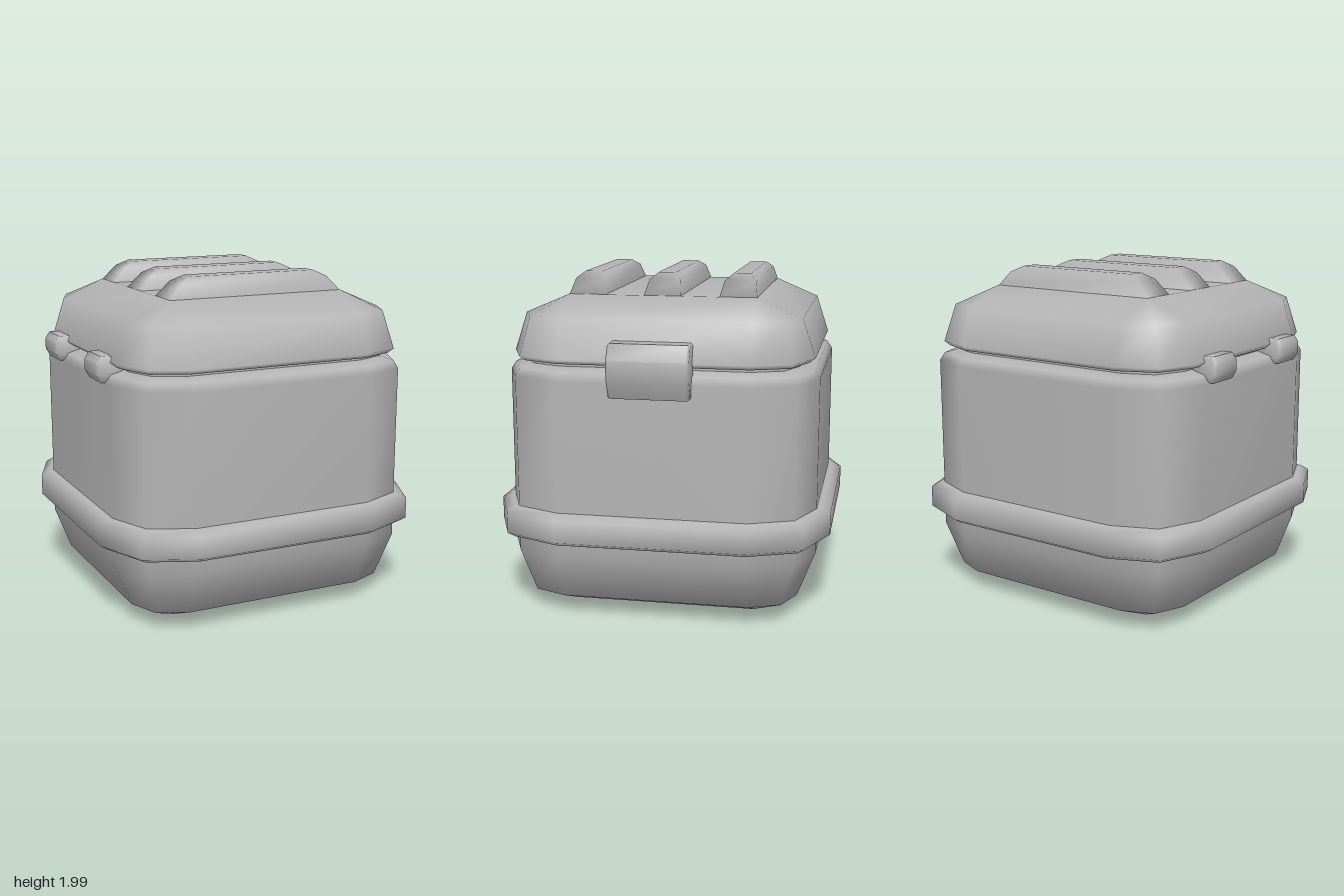
import * as THREE from 'three';
import { mergeVertices, toCreasedNormals } from 'three/addons/utils/BufferGeometryUtils.js';

const CORE = 0.55; // half width of the square that the rounded corners start from

// Rounded square outline with two-segment corners
function roundedRing(y, half) {
  const r = half - CORE, ring = [];
  for (let q = 0; q < 4; q++) {
    const sx = q === 0 || q === 3 ? 1 : -1, sz = q < 2 ? 1 : -1;
    for (let k = 0; k < 3; k++) {
      const a = (q + k / 2) * Math.PI / 2;
      ring.push([sx * CORE + r * Math.cos(a), y, sz * CORE + r * Math.sin(a)]);
    }
  }
  return ring;
}

const rectRing = (y, x, z) => [[x, y, z], [-x, y, z], [-x, y, -z], [x, y, -z]];

// Skin stacked outlines from bottom to top, with optional end caps
function loft(rings, capped = true) {
  const n = rings[0].length, index = [];
  for (let i = 0; i < rings.length - 1; i++) {
    for (let j = 0; j < n; j++) {
      const a = i * n + j, b = i * n + (j + 1) % n;
      index.push(a, a + n, b, b, a + n, b + n);
    }
  }
  const top = (rings.length - 1) * n;
  for (let j = 1; capped && j < n - 1; j++) {
    index.push(0, j, j + 1, top, top + j + 1, top + j);
  }
  const g = new THREE.BufferGeometry();
  g.setAttribute('position', new THREE.Float32BufferAttribute(rings.flat(2), 3));
  g.setIndex(index);
  const merged = mergeVertices(g, 1e-4);
  merged.computeVertexNormals();
  return merged;
}

const roundedLoft = (profile, capped) => loft(profile.map(([y, h]) => roundedRing(y, h)), capped);

// Side profile in x and y, extruded along z with slightly eased ends
function clasp(profile, width) {
  const e = 0.012;
  const shape = new THREE.Shape(profile.map(([x, y]) => new THREE.Vector2(x, y)));
  const g = new THREE.ExtrudeGeometry(shape, {
    depth: width - 2 * e, bevelEnabled: true, bevelSize: e, bevelOffset: -e, bevelThickness: e, bevelSegments: 1,
  });
  g.translate(0, 0, e - width / 2);
  return toCreasedNormals(g, 0.9);
}

export function createModel() {
  const model = new THREE.Group();
  const grey = new THREE.MeshStandardMaterial({ color: 0xb4b4b4 });
  grey.name = 'grey';
  const add = (name, geometry, z = 0) => {
    const mesh = new THREE.Mesh(geometry, grey);
    mesh.name = name;
    mesh.position.z = z;
    model.add(mesh);
  };

  // Container body with a rounded base and rim
  add('body', roundedLoft([
    [0, 0.55], [0.11, 0.81], [0.38, 0.915], [0.55, 0.915], [1.42, 0.915], [1.465, 0.885], [1.49, 0.79],
  ]));

  // Raised belt around the body
  add('belt', roundedLoft([
    [0.463, 0.9], [0.465, 0.945], [0.495, 0.995], [0.62, 0.995], [0.648, 0.945], [0.65, 0.9],
  ], false));

  // Narrow neck between body and lid
  add('neck', roundedLoft([[1.47, 0.8], [1.52, 0.8]], false));

  // Domed lid
  add('lid', roundedLoft([
    [1.5, 0.79], [1.508, 0.85], [1.535, 0.885], [1.76, 0.81], [1.87, 0.55],
  ]));

  // Three grip ridges on the lid
  for (const z of [-0.44, 0, 0.44]) {
    add('ridge', loft([
      rectRing(1.86, 0.55, 0.108), rectRing(1.872, 0.545, 0.108),
      rectRing(1.955, 0.465, 0.09), rectRing(1.99, 0.395, 0.05),
    ]), z);
  }

  // Latch on the left side
  add('latch', clasp([
    [0.84, 1.34], [0.945, 1.34], [0.995, 1.45], [0.995, 1.56], [0.945, 1.65], [0.84, 1.65],
  ], 0.465));

  // Pair of hinges on the right side
  for (const z of [-0.37, 0.37]) {
    add('hinge', clasp([
      [-0.8, 1.42], [-0.8, 1.57], [-0.935, 1.57], [-0.962, 1.53], [-0.962, 1.465], [-0.935, 1.42],
    ], 0.225), z);
  }

  return model;
}
